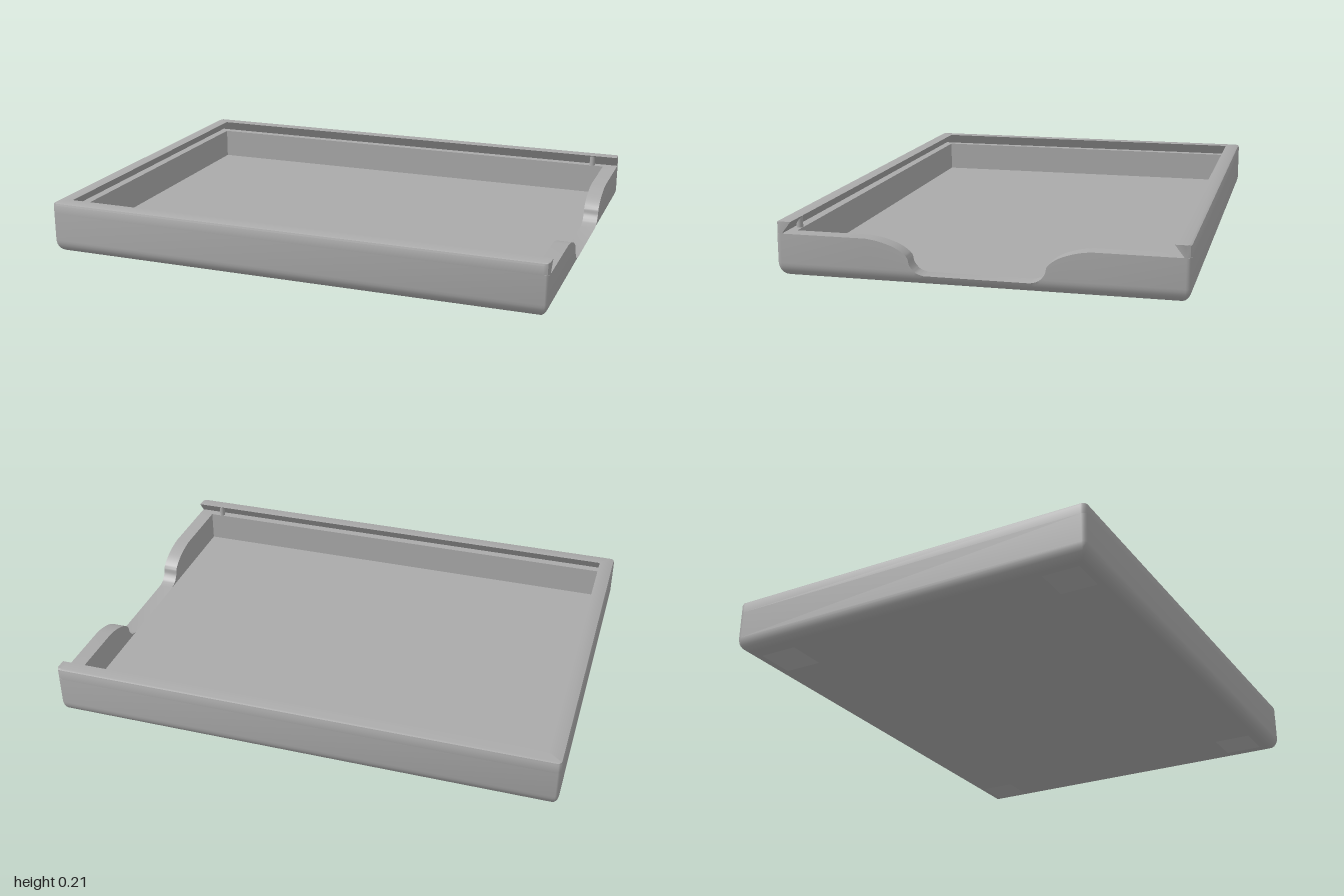
import * as THREE from 'three';
import { toCreasedNormals } from 'three/addons/utils/BufferGeometryUtils.js';

const A = 1, B = 0.757;            // half length, half depth
const CORNER = 0.02, FILLET = 0.055;
const WALL = 0.06, FLOOR = 0.04, LEDGE = 0.165, TOP = 0.21;

// Arc of corner k (0..3, turning from +x towards +z) on the outline inset by d
function corner(k, d) {
  const r = Math.max(CORNER - d, 0);
  const sx = k === 0 || k === 3 ? 1 : -1, sz = k < 2 ? 1 : -1;
  return Array.from({ length: 5 }, (_, i) => {
    const a = (k + i / 4) * Math.PI / 2;
    return [sx * (A - d - r) + r * Math.cos(a), sz * (B - d - r) + r * Math.sin(a)];
  });
}

// Surface through a grid of points: grid[row][column]
function skin(grid, closedColumns, closedRows, caps) {
  const n = grid[0].length, m = grid.length, index = [];
  const id = (j, i) => (j % m) * n + (i % n);
  for (let j = 0; j < (closedRows ? m : m - 1); j++) {
    for (let i = 0; i < (closedColumns ? n : n - 1); i++) {
      const a = id(j, i), b = id(j + 1, i), c = id(j, i + 1), d = id(j + 1, i + 1);
      index.push(a, b, c, c, b, d);
    }
  }
  if (caps) {
    for (let j = 1; j < m - 1; j++) {
      index.push(id(0, 0), id(j + 1, 0), id(j, 0));
      index.push(id(0, n - 1), id(j, n - 1), id(j + 1, n - 1));
    }
  }
  const g = new THREE.BufferGeometry();
  g.setAttribute('position', new THREE.Float32BufferAttribute(grid.flat(2), 3));
  g.setIndex(index);
  return toCreasedNormals(g, 0.6);
}

// Edge of the finger cutout in the +x wall, as [z, height] from -z to +z
function cutoutEdge() {
  const half = new THREE.SplineCurve([
    [0.41, 0.165], [0.36, 0.157], [0.30, 0.137], [0.258, 0.107],
    [0.247, 0.075], [0.225, 0.05], [0.195, 0.04],
  ].map(([z, y]) => new THREE.Vector2(z, y))).getPoints(30)
    .map((p) => [p.x, THREE.MathUtils.clamp(p.y, FLOOR, LEDGE)]);
  return [...half.map(([z, y]) => [-z, y]), ...half.reverse()];
}

// Rounded tray walls up to the lid ledge
function trayGeometry() {
  const edge = cutoutEdge();
  const rows = [];
  for (let i = 0; i <= 8; i++) {
    const t = i / 8 * Math.PI / 2;
    rows.push([FILLET * (1 - Math.sin(t)), FILLET * (1 - Math.cos(t))]);
  }
  rows.push([0, LEDGE], [WALL, LEDGE], [WALL, FLOOR]);
  return skin(rows.map(([d, y]) => [
    ...edge.map(([z, h]) => [A - d, Math.min(y, h), z]),
    ...[0, 1, 2, 3].flatMap((k) => corner(k, d)).map(([x, z]) => [x, y, z]),
  ]), true, false, false);
}

// Undercut dovetail rail on three sides, open at +x
function railGeometry() {
  const section = [[0, LEDGE], [0, TOP - 0.01], [0.003, TOP - 0.003], [0.01, TOP],
    [WALL, TOP], [0.025, LEDGE]];
  const ends = [[A, 0.02], [A - 0.006, 0.006], [A - 0.02, 0]];
  return skin(section.map(([d, y]) => [
    ...ends.map(([x, e]) => [x, y, B - Math.max(d, e)]),
    ...[1, 2].flatMap((k) => corner(k, d)).map(([x, z]) => [x, y, z]),
    ...ends.slice().reverse().map(([x, e]) => [x, y, -B + Math.max(d, e)]),
  ]), false, true, true);
}

export function createModel() {
  const model = new THREE.Group();
  model.name = 'slidingLidTray';
  const grey = new THREE.MeshStandardMaterial({ color: 0xaaaaaa });
  grey.name = 'grey';
  const add = (name, geometry, parent = model) => {
    const mesh = new THREE.Mesh(geometry, grey);
    mesh.name = name;
    parent.add(mesh);
    return mesh;
  };

  add('trayWalls', trayGeometry());
  add('lidRail', railGeometry());

  // Inside floor
  const floor = new THREE.PlaneGeometry(2 * (A - WALL), 2 * (B - WALL));
  floor.rotateX(-Math.PI / 2);
  add('floor', floor).position.y = FLOOR;

  // Underside with four square grip pads of small pyramid pits
  const pads = [
    { x: 0.84, z: 0.615, size: 0.156, n: 3 },
    { x: -0.84, z: -0.615, size: 0.156, n: 3 },
    { x: 0.868, z: -0.627, size: 0.144, n: 2 },
    { x: -0.868, z: 0.627, size: 0.144, n: 2 },
  ];
  const rect = (Type, x, z, w, h) => new Type([[-1, -1], [1, -1], [1, 1], [-1, 1]]
    .map(([u, v]) => new THREE.Vector2(x + u * w, z + v * h)));
  const base = rect(THREE.Shape, 0, 0, A - FILLET, B - FILLET);
  base.holes = pads.map((p) => rect(THREE.Path, p.x, p.z, p.size / 2, p.size / 2));
  const underside = new THREE.ShapeGeometry(base);
  underside.rotateX(Math.PI / 2);
  add('underside', underside);

  for (const { x, z, size, n } of pads) {
    const pad = new THREE.Group();
    pad.name = 'gripPad';
    model.add(pad);
    const cell = size / n, depth = 0.02;
    // Inward-facing pyramid, tip up
    const pit = new THREE.ConeGeometry(cell / Math.SQRT2, depth, 4, 1, true, Math.PI / 4);
    pit.rotateX(Math.PI).scale(1, -1, 1);
    const pitGeometry = toCreasedNormals(pit, 0.1);
    for (let i = 0; i < n; i++) {
      for (let j = 0; j < n; j++) {
        add('gripPit', pitGeometry, pad).position.set(
          x + (i - (n - 1) / 2) * cell, depth / 2, z + (j - (n - 1) / 2) * cell);
      }
    }
  }

  // Small pins that hold the lid shut
  const pin = new THREE.CylinderGeometry(0.012, 0.012, 0.042, 16);
  for (const s of [1, -1]) add('lidCatch', pin).position.set(0.89, LEDGE + 0.021, s * 0.71);

  return model;
}
